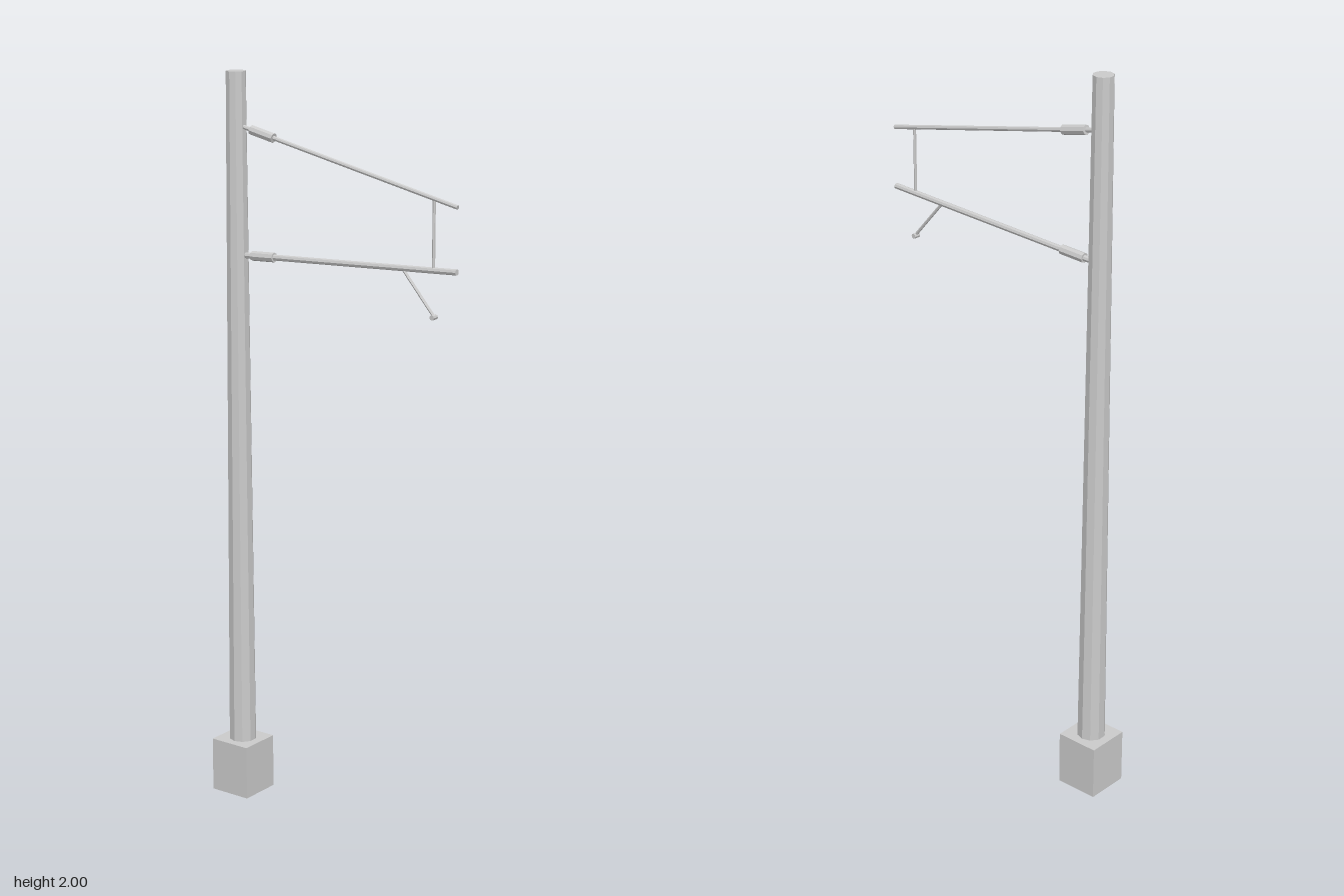
import * as THREE from 'three';

const material = new THREE.MeshStandardMaterial({ color: 0xcccccc, flatShading: true });

export function createModel() {
  const model = new THREE.Group();
  model.name = 'catenaryMast';

  const add = (name, geometry, x, y, z = 0) => {
    const mesh = new THREE.Mesh(geometry, material);
    mesh.name = name;
    mesh.position.set(x, y, z);
    model.add(mesh);
    return mesh;
  };

  // Straight rod between two points in the z = 0 plane
  const rod = (name, a, b, radius, sides = 8) => {
    const dir = new THREE.Vector3(b[0] - a[0], b[1] - a[1], 0);
    const mesh = add(name, new THREE.CylinderGeometry(radius, radius, dir.length(), sides),
      (a[0] + b[0]) / 2, (a[1] + b[1]) / 2);
    mesh.quaternion.setFromUnitVectors(new THREE.Vector3(0, 1, 0), dir.normalize());
    return mesh;
  };

  // Foundation block and tapered pole
  const poleX = -0.32;
  add('foundation', new THREE.BoxGeometry(0.12, 0.15, 0.12), poleX, 0.075);
  add('pole', new THREE.CylinderGeometry(0.027, 0.038, 1.85, 10), poleX, 1.075);

  // Two arms, each with a thicker insulator close to the pole
  const arms = [
    { name: 'upper', start: [-0.295, 1.856], end: [0.375, 1.71], radius: 0.006 },
    { name: 'lower', start: [-0.295, 1.518], end: [0.375, 1.548], radius: 0.008 },
  ];
  for (const { name, start, end, radius } of arms) {
    const at = (x) => [x, start[1] + (end[1] - start[1]) * (x - start[0]) / (end[0] - start[0])];
    rod(name + 'Arm', start, end, radius);
    rod(name + 'Insulator', at(-0.27), at(-0.197), 0.013);
  }

  // Vertical link between the arms
  rod('dropper', [0.305, 1.545], [0.305, 1.724], 0.004, 6);

  // Diagonal steady arm with the wire clamp at its tip
  rod('steadyArm', [0.21, 1.541], [0.306, 1.43], 0.004, 6);
  const clamp = add('wireClamp', new THREE.CylinderGeometry(0.007, 0.007, 0.018, 8), 0.307, 1.426);
  clamp.rotation.x = Math.PI / 2;

  return model;
}
